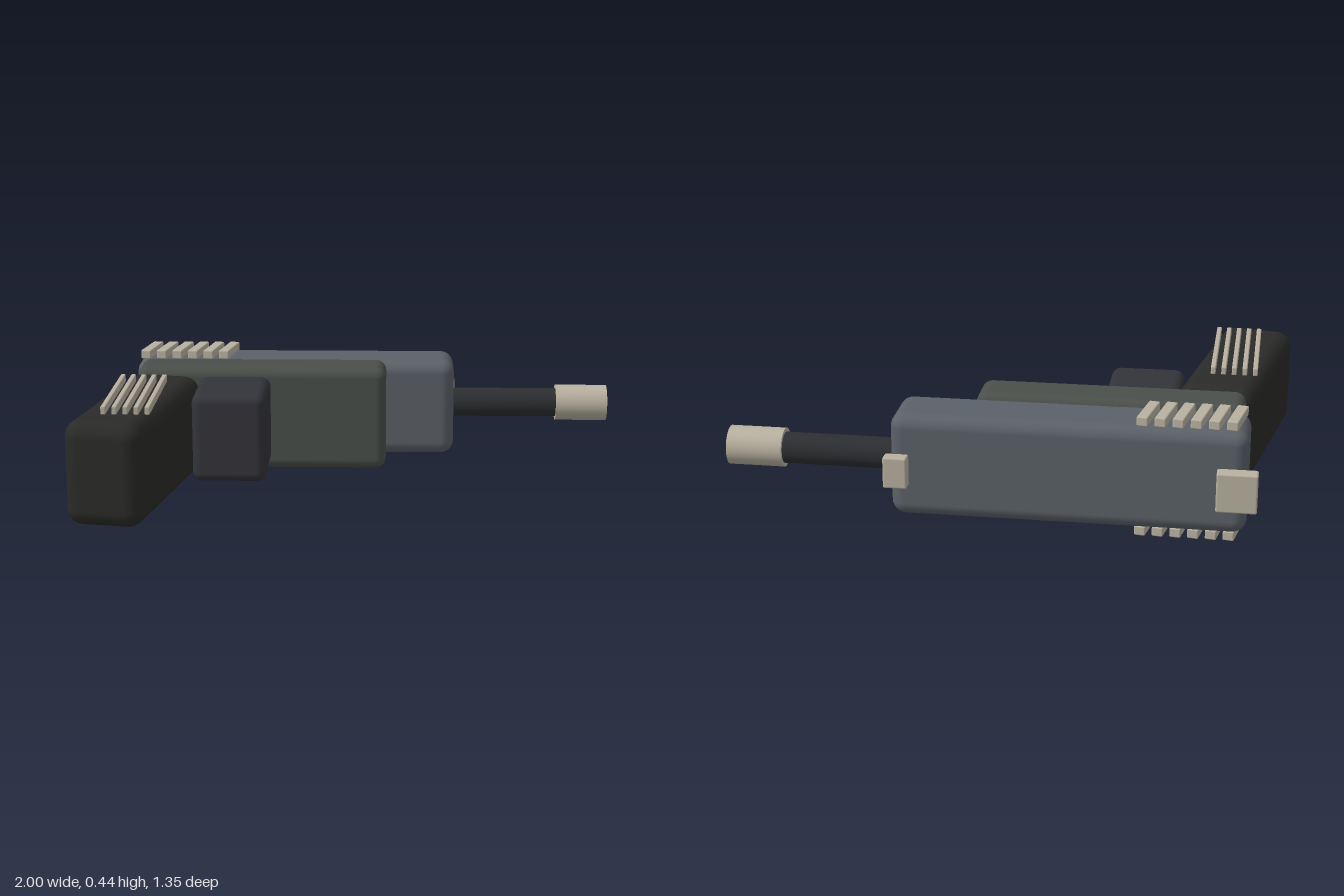
import * as THREE from 'three';
import { RoundedBoxGeometry } from 'three/addons/geometries/RoundedBoxGeometry.js';

const mat = (color) => new THREE.MeshStandardMaterial({ color });

export function createModel() {
  const model = new THREE.Group();
  const slideMat = mat(0x5b6168), frameMat = mat(0x4a4f4a), guardMat = mat(0x33343a);
  const gripMat = mat(0x2a2a28), barrelMat = mat(0x2c2e31), trimMat = mat(0xb8b0a0);
  const midY = 0.224, lean = -0.175;

  // Rounded block given by its size, centre, edge radius and turn about y
  function block(name, material, [w, h, d], [x, y, z], radius, turn = 0) {
    const mesh = new THREE.Mesh(new RoundedBoxGeometry(w, h, d, 4, radius), material);
    mesh.name = name;
    mesh.position.set(x, y, z);
    mesh.rotation.y = turn;
    model.add(mesh);
  }

  // Cylinder lying along x
  function rod(name, material, radius, x0, x1) {
    const geometry = new THREE.CylinderGeometry(radius, radius, x1 - x0, 40).rotateZ(-Math.PI / 2);
    const mesh = new THREE.Mesh(geometry, material);
    mesh.name = name;
    mesh.position.set((x0 + x1) / 2, midY, -0.465);
    model.add(mesh);
  }

  // Main bodies
  block('slide', slideMat, [1.26, 0.38, 0.255], [-0.245, midY, -0.467], 0.05);
  block('frame', frameMat, [0.966, 0.405, 0.196], [-0.367, midY, -0.262], 0.04);
  block('triggerBlock', guardMat, [0.276, 0.336, 0.345], [-0.47, midY, -0.027], 0.035);
  block('grip', gripMat, [0.282, 0.38, 0.812], [-0.8, midY, 0.256], 0.06, lean);

  // Barrel and muzzle
  rod('barrel', barrelMat, 0.057, 0.3, 0.82);
  rod('muzzle', trimMat, 0.071, 0.796, 1);

  // Sights
  block('rearSight', trimMat, [0.142, 0.143, 0.056], [-0.84, midY, -0.647], 0.007);
  block('frontSight', trimMat, [0.085, 0.115, 0.05], [0.353, midY, -0.636], 0.007);

  // Slanted serrations on both faces of the slide
  for (const side of [-1, 1]) {
    for (let i = 0; i < 6; i++) {
      block('serration', trimMat, [0.04, 0.035, 0.177],
        [-0.829 + i * 0.0622, midY + side * 0.205, -0.477], 0.005, lean);
    }
  }

  // Straight ribs on the upper face of the grip
  for (let i = 0; i < 5; i++) {
    block('gripRib', trimMat, [0.018, 0.03, 0.504], [-0.874 + i * 0.039, 0.43, 0.272], 0.004);
  }
  return model;
}
